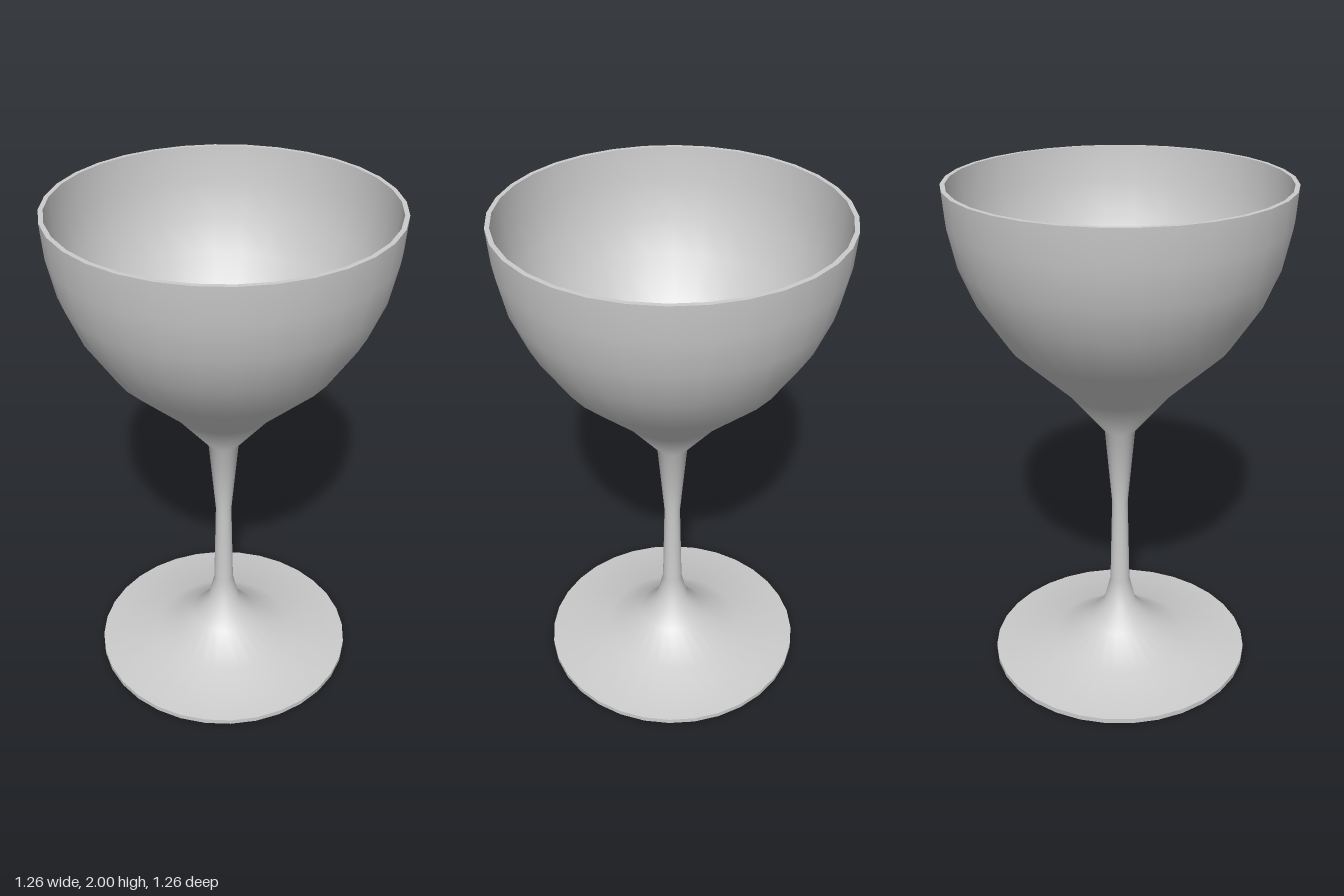
import * as THREE from 'three';

const SEGMENTS = 32;

export function createModel() {
  const group = new THREE.Group();
  group.name = 'stemmedGlass';
  const material = new THREE.MeshStandardMaterial({ color: 0xcccccc });

  // Each part is a smooth [radius, height] profile; parts meet at the hard edges
  const turn = (name, profile) => {
    const points = profile.map(([r, y]) => new THREE.Vector2(r, y));
    const mesh = new THREE.Mesh(new THREE.LatheGeometry(points, SEGMENTS), material);
    mesh.name = name;
    group.add(mesh);
  };

  // Hollow underside of the foot, from the centre out
  turn('footUnderside', [[0, 0.215], [0.045, 0.2], [0.125, 0.12], [0.28, 0.03], [0.53, 0]]);
  turn('footEdge', [[0.53, 0], [0.53, 0.02]]);

  // Foot top and stem flow into each other
  // and continue into the outside of the bowl
  turn('footStemAndBowlOutside', [
    [0.53, 0.02], [0.285, 0.05], [0.14, 0.14], [0.065, 0.225], [0.04, 0.33],
    [0.032, 0.7], [0.06, 1.02],
    [0.206, 1.2], [0.425, 1.41], [0.534, 1.58], [0.593, 1.725], [0.623, 1.87], [0.632, 2],
  ]);

  turn('rim', [[0.632, 2], [0.615, 2]]);

  // Inside of the bowl, from the rim down to the rounded bottom
  turn('bowlInside', [
    [0.615, 2], [0.606, 1.87], [0.576, 1.73], [0.517, 1.59], [0.41, 1.425],
    [0.195, 1.22], [0.11, 1.13], [0.05, 1.1], [0, 1.095],
  ]);

  return group;
}
